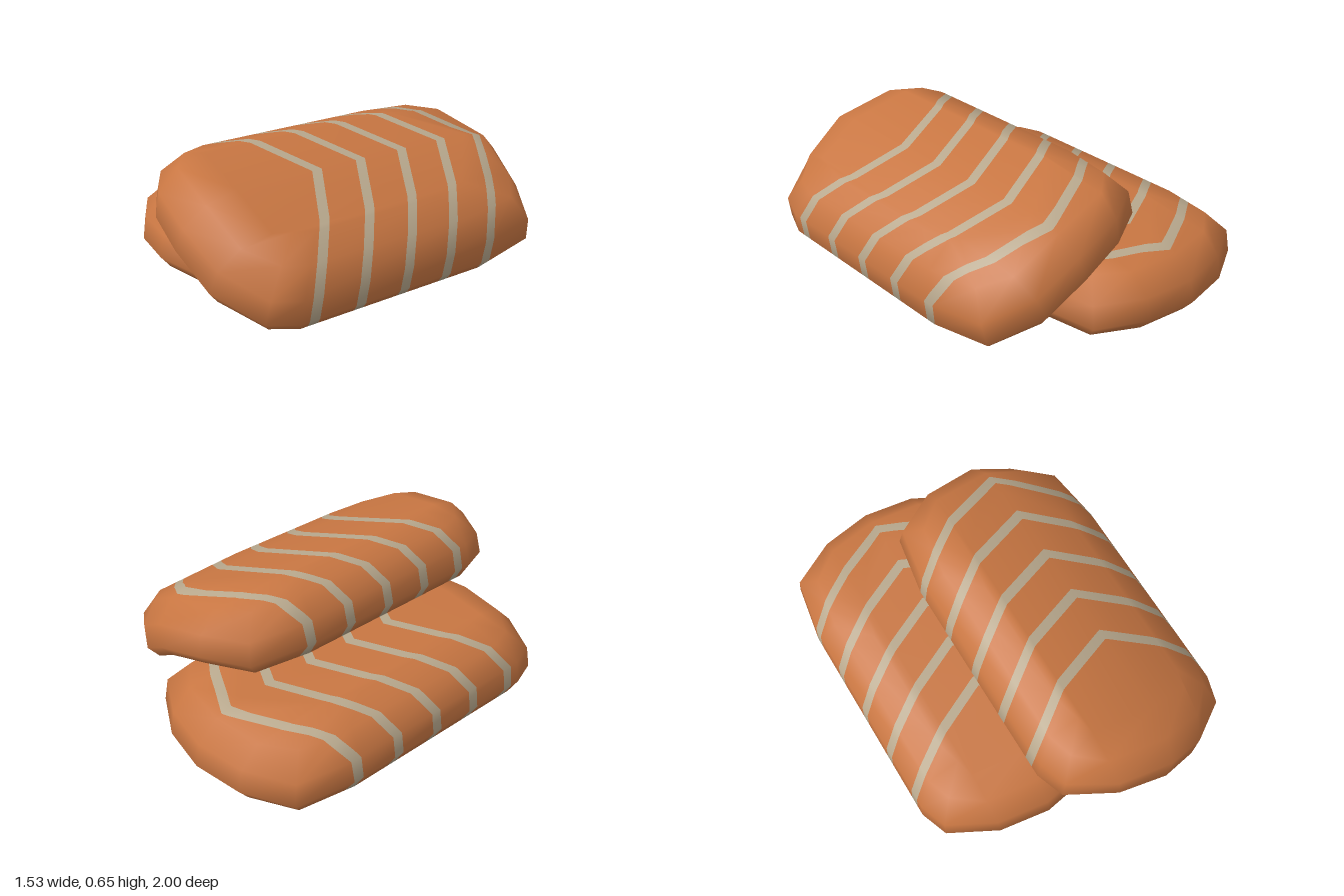
import * as THREE from 'three';

const flesh = new THREE.MeshStandardMaterial({ color: 0xc87642 });
flesh.name = 'orange flesh';
const fat = new THREE.MeshStandardMaterial({ color: 0xb8a88d });
fat.name = 'pale fat';

// Plan outline of one slice, counter-clockwise from above: front edge, then back edge
const OUTLINE = [
  [-0.53, 0.605], [-0.48, 0.74], [-0.25, 0.865], [0, 0.905], [0.25, 0.865], [0.48, 0.74], [0.53, 0.605],
  [0.53, -0.455], [0.48, -0.745], [0.25, -0.865], [0, -0.905], [-0.25, -0.865], [-0.48, -0.745], [-0.53, -0.455],
];
// Rings from bottom to top: height, half width, half length
const RINGS = [
  [0, 0.3, 0.62], [0.02, 0.5, 0.855], [0.08, 0.53, 0.905],
  [0.19, 0.52, 0.885], [0.285, 0.435, 0.785], [0.325, 0.3, 0.64],
];
const THICK = 0.325;

// Columns of the draped slice: [u, bottom x, bottom y, top x, top y]
const DRAPE = [
  [-0.53, -0.255, 0.34, -0.22, 0.67],
  [-0.25, 0.03, 0.33, 0.03, 0.65],
  [0, 0.25, 0.27, 0.34, 0.58],
  [0.25, 0.44, 0.14, 0.56, 0.45],
  [0.53, 0.72, 0.03, 0.80, 0.34],
];

function drape(u, y) {
  let i = 0;
  while (i < 3 && u > DRAPE[i + 1][0]) i++;
  const a = DRAPE[i], b = DRAPE[i + 1];
  const t = (u - a[0]) / (b[0] - a[0]);
  const c = a.map((n, k) => THREE.MathUtils.lerp(n, b[k], t));
  const v = y / THICK;
  return [c[1] + (c[3] - c[1]) * v, c[2] + (c[4] - c[2]) * v];
}

// Backward sweep of the chevron at distance |u| from the middle
function chevron(u) {
  const d = Math.abs(u);
  return d < 0.25 ? d * 0.48 : 0.12 + (d - 0.25) * 0.64;
}

// Stripe edges, measured along the slice
const EDGES = [-Infinity];
for (let i = 0; i < 5; i++) EDGES.push(-0.756 + i * 0.24, -0.704 + i * 0.24);
EDGES.push(Infinity);

// Keep the part of a polygon on one side of a stripe edge
function clip(poly, level, sign) {
  if (!Number.isFinite(level)) return poly;
  const out = [];
  poly.forEach((a, i) => {
    const b = poly[(i + 1) % poly.length];
    const da = (a[6] - level) * sign, db = (b[6] - level) * sign;
    if (da >= 0) out.push(a);
    if ((da > 0 && db < 0) || (da < 0 && db > 0)) {
      const t = da / (da - db);
      out.push(a.map((n, k) => n + (b[k] - n) * t));
    }
  });
  return out;
}

function makeMesh(name, data, material) {
  const geo = new THREE.BufferGeometry();
  geo.setAttribute('position', new THREE.Float32BufferAttribute(data.pos, 3));
  geo.setAttribute('normal', new THREE.Float32BufferAttribute(data.nor, 3));
  const mesh = new THREE.Mesh(geo, material);
  mesh.name = name;
  return mesh;
}

function makeSlice(name, place, zCentre) {
  const n = OUTLINE.length, pos = [], along = [], index = [];
  const top = RINGS.length - 1;

  // Stacked rings; the three middle columns stay in line
  RINGS.forEach(([y, w, len], k) => {
    OUTLINE.forEach(([ox, oz]) => {
      const u = Math.abs(ox) > 0.3 ? ox * w / 0.53 : ox;
      const taper = k === top && oz < 0 && ox !== 0 ? 0.7 : 1;
      const z = oz * len / 0.905 * taper;
      const [x, h] = place(u, y);
      pos.push(x, h, z + zCentre);
      along.push(z - chevron(u));
    });
  });

  // Walls, then the top and bottom in front-to-back strips
  const quad = (a, b, c, d) => index.push(a, b, c, a, c, d);
  for (let k = 0; k < top; k++) {
    for (let i = 0; i < n; i++) {
      const j = (i + 1) % n;
      quad(k * n + i, k * n + j, (k + 1) * n + j, (k + 1) * n + i);
    }
  }
  for (let i = 0; i < 6; i++) {
    const t = top * n;
    quad(t + i, t + i + 1, t + 12 - i, t + 13 - i);
    quad(13 - i, 12 - i, i + 1, i);
  }

  const base = new THREE.BufferGeometry();
  base.setAttribute('position', new THREE.Float32BufferAttribute(pos, 3));
  base.setIndex(index);
  base.computeVertexNormals();
  const nor = base.attributes.normal.array;

  // Cut the smooth surface into alternating flesh and stripe bands
  const parts = [{ pos: [], nor: [] }, { pos: [], nor: [] }];
  const corner = (v) => [...pos.slice(v * 3, v * 3 + 3), ...nor.slice(v * 3, v * 3 + 3), along[v]];
  for (let i = 0; i < index.length; i += 3) {
    const tri = [0, 1, 2].map((k) => corner(index[i + k]));
    for (let e = 0; e < EDGES.length - 1; e++) {
      const poly = clip(clip(tri, EDGES[e], 1), EDGES[e + 1], -1);
      const part = parts[e % 2];
      for (let m = 1; m < poly.length - 1; m++) {
        for (const p of [poly[0], poly[m], poly[m + 1]]) {
          part.pos.push(p[0], p[1], p[2]);
          part.nor.push(p[3], p[4], p[5]);
        }
      }
    }
  }

  const slice = new THREE.Group();
  slice.name = name;
  slice.add(makeMesh(name + 'Flesh', parts[0], flesh), makeMesh(name + 'Stripes', parts[1], fat));
  return slice;
}

export function createModel() {
  const model = new THREE.Group();
  model.name = 'fishSlices';
  model.add(
    makeSlice('lowerSlice', (u, y) => [u - 0.24, y], -0.095),
    makeSlice('drapedSlice', drape, 0.09),
  );
  return model;
}
